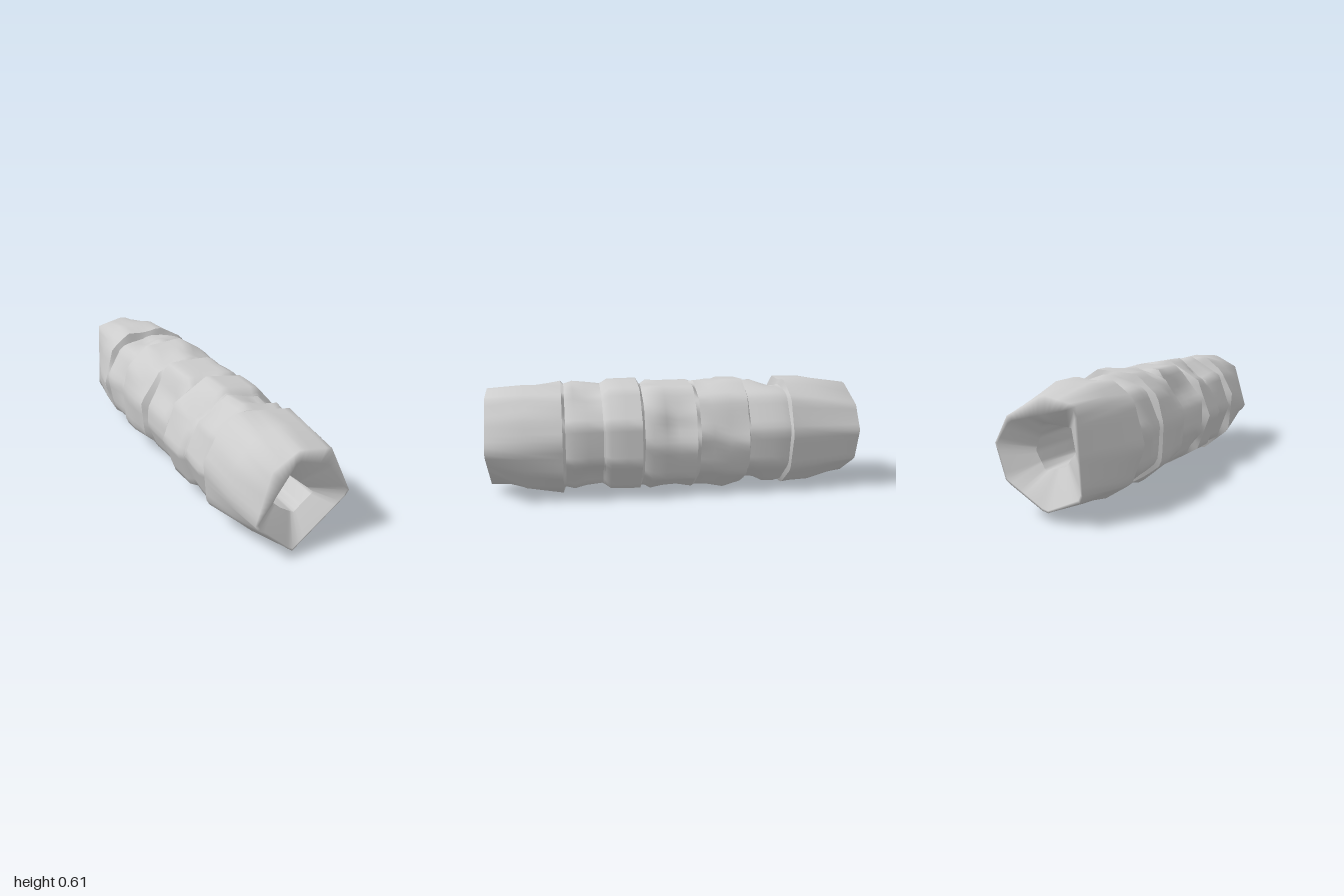
import * as THREE from 'three';

const STEPS = 54;
const CY = 0.31; // height of the tube's axis

// Distance from the axis to a polygon's edge in direction a
function polygonRadius(pts, a) {
  const dx = Math.cos(a), dy = Math.sin(a);
  let best = 0;
  pts.forEach(([x1, y1], i) => {
    const [x2, y2] = pts[(i + 1) % pts.length];
    const ex = x2 - x1, ey = y2 - y1;
    const det = ex * dy - ey * dx;
    if (Math.abs(det) < 1e-9) return;
    const px = x1, py = y1 - CY;
    const t = (ex * py - ey * px) / det;
    const s = (dx * py - dy * px) / det;
    if (t > 0 && s >= -1e-6 && s <= 1 + 1e-6) best = Math.max(best, t);
  });
  return best;
}

// Regular polygon around the axis, phase in degrees
function regular(n, r, phase) {
  return Array.from({ length: n }, (_, i) => {
    const a = (phase / 180 + (2 * i) / n) * Math.PI;
    return [r * Math.cos(a), CY + r * Math.sin(a)];
  });
}

// Dents in the outer skin: angle in degrees, z, depth, angular width, z width
const DENTS = [
  [138, 0.03, 0.03, 20, 0.1], [132, 0.35, 0.055, 18, 0.05],
  [25, 0.0, 0.055, 24, 0.06], [10, -0.24, 0.025, 25, 0.05],
  [95, -0.55, 0.055, 20, 0.06], [65, 0.46, 0.045, 20, 0.06],
  [270, -0.41, 0.07, 28, 0.05], [270, 0.02, 0.03, 30, 0.09],
  [315, 0.45, 0.03, 25, 0.07], [170, -0.42, 0.03, 22, 0.05],
];
function dent(deg, z) {
  return DENTS.reduce((sum, [a, dz, depth, wa, wz]) => {
    const d = ((deg - a + 540) % 360) - 180;
    return sum + depth * Math.exp(-((d / wa) ** 2) - ((z - dz) / wz) ** 2);
  }, 0);
}

// Skin through a list of [z, polygon] rings
function loft(rings) {
  const pos = [], index = [];
  rings.forEach(([z, pts], i) => {
    for (let j = 0; j < STEPS; j++) {
      const a = (j / STEPS) * Math.PI * 2;
      const outer = polygonRadius(pts, a);
      const r = outer > 0.2 ? outer - dent((j / STEPS) * 360, z) : outer;
      pos.push(r * Math.cos(a), CY + r * Math.sin(a), z);
      if (i === rings.length - 1) continue;
      const p = i * STEPS + j, q = i * STEPS + ((j + 1) % STEPS);
      index.push(p, p + STEPS, q, q, p + STEPS, q + STEPS);
    }
  });
  const g = new THREE.BufferGeometry();
  g.setAttribute('position', new THREE.Float32BufferAttribute(pos, 3));
  g.setIndex(index);
  g.computeVertexNormals();
  return g;
}

export function createModel() {
  const group = new THREE.Group();
  group.name = 'segmentedTube';
  const grey = new THREE.MeshStandardMaterial({ color: 0xcccccc });
  grey.name = 'lightGrey';
  const add = (name, rings) => {
    const mesh = new THREE.Mesh(loft(rings), grey);
    mesh.name = name;
    group.add(mesh);
  };

  // Mouth outlines
  const frontMouth = [[0.265, 0.27], [0.13, 0.54], [-0.05, 0.575], [-0.185, 0.505], [-0.262, 0.24], [-0.05, 0.04]];
  const frontLip = [[0.255, 0.27], [0.12, 0.46], [-0.05, 0.52], [-0.25, 0.243], [-0.05, 0.05]];
  const frontThroat = [[0.115, 0.27], [-0.05, 0.42], [-0.115, 0.27], [0.005, 0.19]];
  const bore = [[0.07, 0.3], [0, 0.38], [-0.08, 0.31], [-0.065, 0.26], [0.04, 0.24]];
  const backMouth = [[0.26, 0.34], [0.19, 0.47], [0, 0.575], [-0.17, 0.54], [-0.194, 0.124], [-0.005, 0.046], [0.206, 0.17]];
  const backLip = [[0.25, 0.34], [0.18, 0.445], [-0.156, 0.526], [-0.185, 0.135], [-0.005, 0.056], [0.2, 0.178]];
  const backThroat = [[0.11, 0.3], [0.065, 0.43], [-0.08, 0.42], [-0.1, 0.31], [-0.05, 0.24], [0.06, 0.21]];

  // Outlines of the end and middle segments
  const frontShoulder = [[0.3, 0.35], [0.19, 0.553], [-0.115, 0.605], [-0.225, 0.52], [-0.3, 0.38],
    [-0.28, 0.15], [-0.12, 0.02], [0.06, 0.003], [0.26, 0.146]];
  const notched = [[0.295, 0.29], [0.26, 0.46], [0.14, 0.585], [-0.12, 0.6], [-0.17, 0.53],
    [-0.255, 0.36], [-0.26, 0.25], [-0.2, 0.1], [-0.08, 0.02], [0.1, 0.015], [0.24, 0.11]];
  const middleShoulder = [[0.3, 0.3], [0.22, 0.53], [0.09, 0.615], [-0.13, 0.602], [-0.25, 0.5],
    [-0.295, 0.36], [-0.27, 0.15], [-0.1, 0.01], [0.08, 0.002], [0.24, 0.12]];
  const backShoulder = [[0.3, 0.33], [0.23, 0.52], [0.076, 0.615], [-0.13, 0.61], [-0.24, 0.52],
    [-0.3, 0.3], [-0.23, 0.11], [-0.08, 0.015], [0.1, 0.02], [0.25, 0.13]];
  const backBody = [[0.265, 0.35], [0.22, 0.5], [0.08, 0.605], [-0.13, 0.6], [-0.235, 0.48],
    [-0.27, 0.3], [-0.23, 0.13], [-0.05, 0.03], [0.12, 0.04], [0.235, 0.15]];

  // Segments, front to back; the end ones roll over their lips into the throats
  const segments = [
    [[0.92, frontThroat], [1, frontLip], [1, frontMouth], [0.8, regular(12, 0.287, 0)], [0.61, frontShoulder]],
    [[0.595, regular(9, 0.285, 20)], [0.55, regular(9, 0.3, 20)], [0.48, regular(9, 0.295, 20)], [0.4, regular(9, 0.285, 20)]],
    [[0.39, regular(9, 0.29, 20)], [0.36, regular(9, 0.31, 20)], [0.28, regular(9, 0.31, 20)], [0.2, regular(9, 0.31, 20)]],
    [[0.185, regular(9, 0.285, 0)], [0.14, notched], [0.07, notched], [0, notched], [-0.09, notched]],
    [[-0.11, regular(9, 0.298, 5)], [-0.18, regular(9, 0.302, 10)], [-0.27, middleShoulder], [-0.37, middleShoulder]],
    [[-0.38, regular(9, 0.29, 10)], [-0.44, regular(9, 0.297, 10)], [-0.5, regular(9, 0.298, 10)],
      [-0.56, regular(9, 0.3, 10)], [-0.6, regular(9, 0.29, 10)]],
    [[-0.612, backShoulder], [-0.76, backBody], [-1, backMouth], [-1, backLip], [-0.9, backThroat]],
  ];
  segments.forEach((rings, i) => {
    add('segment' + (i + 1), rings);
    const next = segments[i + 1];
    // Narrow groove up to the following segment
    if (next) add('groove' + (i + 1), [rings[rings.length - 1], next[0]]);
  });

  // Inner skin, back to front
  add('innerBore', [[-0.9, backThroat], [-0.6, regular(5, 0.12, 30)], [0, bore], [0.6, regular(5, 0.13, 10)], [0.92, frontThroat]]);
  return group;
}
